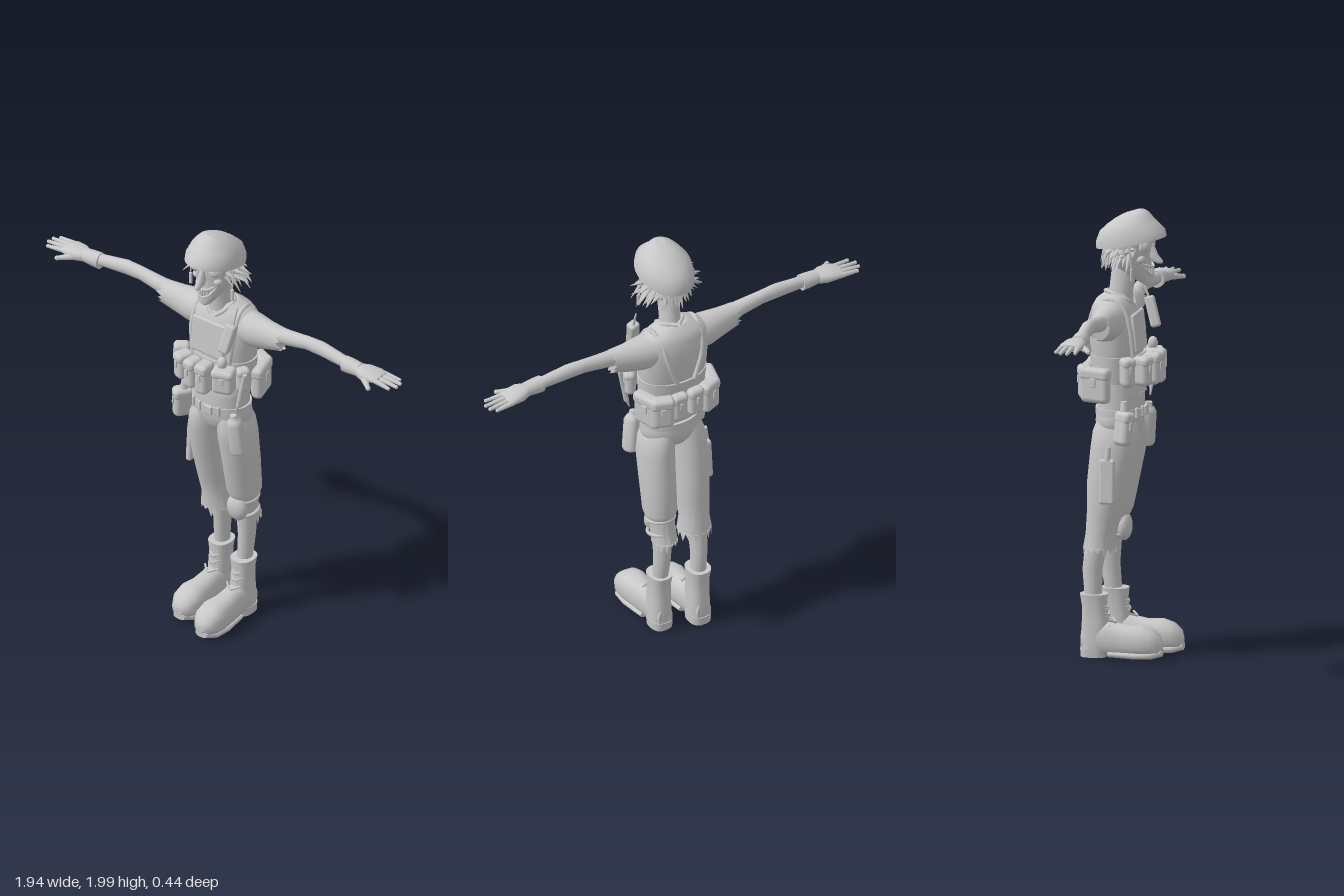
import * as THREE from 'three';
import { RoundedBoxGeometry } from 'three/addons/geometries/RoundedBoxGeometry.js';

const clay = new THREE.MeshStandardMaterial({ color: 0xc8c8c8, side: THREE.DoubleSide });
clay.name = 'light grey';
let seed = 7;
const rnd = () => (seed = (seed * 16807) % 2147483647) / 2147483647;
const V = (x, y, z) => new THREE.Vector3(x, y, z);

export function createModel() {
  const root = new THREE.Group();
  root.name = 'soldier';

  const add = (name, geo, parent = root) => {
    const m = new THREE.Mesh(geo, clay);
    m.name = name;
    parent.add(m);
    return m;
  };

  // Skin over rings [t, u, v, ru, rv] along axis k (0 x, 1 y, 2 z); u and v follow cyclically.
  // rag: jagged offset of the first (negative) or last (positive) ring; mirror flips x.
  function loft(k, rings, { n = 24, pow = 2, rag = 0, mirror = false } = {}) {
    const pos = [], idx = [], u = (k + 1) % 3, v = (k + 2) % 3;
    const sgn = (c) => Math.sign(c) * Math.pow(Math.abs(c), 2 / pow);
    const put = (t, a, b) => {
      const p = [0, 0, 0];
      p[k] = t; p[u] = a; p[v] = b;
      pos.push(mirror ? -p[0] : p[0], p[1], p[2]);
    };
    const ring = (r, ragged) => {
      for (let i = 0; i < n; i++) {
        const a = (i / n) * Math.PI * 2;
        const t = r[0] + (ragged ? rag * (i % 2 ? 0.3 + rnd() : 0) : 0);
        put(t, r[1] + r[3] * sgn(Math.cos(a)), r[2] + r[4] * sgn(Math.sin(a)));
      }
    };
    const tri = (a, b, c) => (mirror ? idx.push(a, c, b) : idx.push(a, b, c));
    const last = rings.length - 1;
    rings.forEach((r, j) => ring(r, rag && (rag < 0 ? j === 0 : j === last)));
    for (let j = 0; j < last; j++) for (let i = 0; i < n; i++) {
      const a = j * n + i, b = j * n + (i + 1) % n;
      tri(a, b, b + n); tri(a, b + n, a + n);
    }
    // end caps
    [[rings[0], true], [rings[last], false]].forEach(([r, low]) => {
      const s = pos.length / 3;
      ring(r, false);
      put(r[0], r[1], r[2]);
      for (let i = 0; i < n; i++) {
        const a = s + i, b = s + (i + 1) % n;
        low ? tri(s + n, b, a) : tri(s + n, a, b);
      }
    });
    const g = new THREE.BufferGeometry();
    g.setAttribute('position', new THREE.Float32BufferAttribute(pos, 3));
    g.setIndex(idx);
    g.computeVertexNormals();
    return g;
  }

  // Tapered rod from a to b
  function rod(name, a, b, r0, r1, sides = 10) {
    const d = b.clone().sub(a), m = add(name, new THREE.CylinderGeometry(r1, r0, d.length(), sides));
    m.position.copy(a).addScaledVector(d, 0.5);
    m.quaternion.setFromUnitVectors(V(0, 1, 0), d.normalize());
  }
  function ball(name, x, y, z, sx, sy = sx, sz = sx) {
    const m = add(name, new THREE.SphereGeometry(1, 20, 14));
    m.position.set(x, y, z);
    m.scale.set(sx, sy, sz);
  }
  const box = (name, w, h, d, x, y, z, parent = root, r = 0.012) => {
    const m = add(name, new RoundedBoxGeometry(w, h, d, 3, Math.min(r, w / 2.1, h / 2.1, d / 2.1)), parent);
    m.position.set(x, y, z);
    return m;
  };
  const tube = (name, pts, r) =>
    add(name, new THREE.TubeGeometry(new THREE.CatmullRomCurve3(pts.map((p) => V(...p))), 24, r, 8));

  // Pouch with flap and buckle, facing its own +z
  function pouch(name, w, h, d, x, y, z, ry = 0, rz = 0) {
    const g = new THREE.Group();
    g.name = name;
    box('pouchBody', w, h, d, 0, 0, 0, g, 0.024);
    box('pouchFlap', w * 1.04, h * 0.36, d * 1.05, 0, h * 0.33, 0.002, g, 0.02);
    box('pouchBuckle', w * 0.22, h * 0.26, 0.01, 0, h * 0.1, d * 0.52, g, 0.004);
    g.position.set(x, y, z);
    g.rotation.set(0, ry, rz);
    root.add(g);
  }

  // Torso, shirt hem and belt
  add('torso', loft(1, [[1.08, -0.045, 0, 0.1, 0.135], [1.2, -0.04, 0, 0.097, 0.13], [1.3, -0.058, 0, 0.1, 0.15],
    [1.4, -0.062, 0, 0.114, 0.162], [1.5, -0.068, 0, 0.111, 0.167], [1.565, -0.072, 0, 0.096, 0.163],
    [1.6, -0.075, 0, 0.075, 0.135], [1.625, -0.065, 0, 0.052, 0.065]], { n: 32, pow: 2.2 }));
  add('shirtHem', loft(1, [[1.19, -0.04, 0, 0.105, 0.147], [1.26, -0.045, 0, 0.1, 0.145]], { n: 40, rag: -0.012 }));
  add('belt', loft(1, [[1.088, -0.045, 0, 0.11, 0.143], [1.12, -0.045, 0, 0.11, 0.143]], { n: 32 }));
  box('beltBuckle', 0.045, 0.045, 0.016, 0.01, 1.105, 0.066);
  for (const x of [-0.085, -0.04, 0.06]) box('beltLoop', 0.013, 0.05, 0.016, x, 1.105, 0.065 - x * x * 2.5);

  // Vest
  add('vestBand', loft(1, [[1.24, -0.055, 0, 0.113, 0.158], [1.36, -0.06, 0, 0.118, 0.165]], { n: 32 }));
  const plate = box('chestPanel', 0.18, 0.17, 0.02, -0.01, 1.46, 0.038);
  plate.rotation.x = -0.1;
  for (const s of [-1, 1]) {
    tube('shoulderStrap', [[s * 0.1, 1.36, 0.035], [s * 0.115, 1.5, 0.02], [s * 0.11, 1.585, -0.02],
      [s * 0.108, 1.61, -0.075], [s * 0.1, 1.575, -0.135], [s * 0.085, 1.48, -0.168], [s * 0.045, 1.36, -0.175]], 0.011);
    tube('collar', [[s * 0.01, 1.57, 0.015], [s * 0.045, 1.6, -0.005], [s * 0.055, 1.625, -0.06], [0, 1.63, -0.115]], 0.01);
  }

  // Pouches around the waist: w, h, d, x, y, z, turn
  [[0.06, 0.13, 0.07, -0.165, 1.3, 0.025, -0.9], [0.065, 0.13, 0.08, -0.115, 1.3, 0.08, -0.35],
    [0.06, 0.14, 0.08, -0.045, 1.3, 0.105, -0.08], [0.065, 0.15, 0.08, 0.022, 1.3, 0.11, 0.05],
    [0.1, 0.12, 0.08, 0.108, 1.305, 0.08, 0.35], [0.06, 0.12, 0.05, 0.165, 1.3, 0.02, 0.95],
    [0.14, 0.155, 0.055, 0.16, 1.235, -0.12, 1.85], [0.14, 0.155, 0.055, -0.16, 1.235, -0.12, -1.85],
    [0.1, 0.15, 0.06, 0.12, 1.24, -0.175, 2.75], [0.1, 0.15, 0.06, -0.12, 1.24, -0.175, -2.75],
    [0.075, 0.135, 0.05, 0.042, 1.245, -0.185, 3.1], [0.075, 0.135, 0.05, -0.042, 1.245, -0.185, -3.1],
  ].forEach((p) => pouch('waistPouch', ...p));
  ball('grenade', 0.095, 1.385, 0.075, 0.022, 0.03);
  rod('toolHandle', V(0.165, 1.18, 0.05), V(0.2, 1.35, 0.05), 0.012, 0.01);
  rod('toolBlade', V(0.15, 1.14, 0.05), V(0.17, 1.2, 0.05), 0.003, 0.012);

  // Radio on the chest strap
  const radio = box('radio', 0.05, 0.14, 0.045, 0.12, 1.52, 0.068);
  radio.rotation.set(-0.25, 0.2, -0.15);
  rod('radioAntenna', V(0.13, 1.57, 0.05), V(0.135, 1.66, 0.02), 0.007, 0.004);

  // Hip and thigh gear
  const canteen = add('hipCanteen', loft(1, [[-0.09, 0, 0, 0.03, 0.032], [-0.075, 0, 0, 0.038, 0.038], [0.06, 0, 0, 0.036, 0.035],
    [0.08, 0, 0, 0.026, 0.026], [0.085, 0, 0, 0.015, 0.015], [0.105, 0, 0, 0.014, 0.014]], { pow: 2.6 }));
  canteen.position.set(0.145, 1.01, 0.038);
  canteen.rotation.set(0.05, 0.4, 0.12);
  pouch('hipBag', 0.06, 0.15, 0.085, -0.175, 1.05, 0.01, -0.6, -0.12);
  rod('bagCap', V(-0.165, 1.12, 0.01), V(-0.16, 1.17, 0.01), 0.02, 0.016);
  const sheath = box('thighSheath', 0.03, 0.2, 0.07, -0.175, 0.81, -0.065);
  sheath.rotation.z = -0.05;
  rod('knifeHandle', V(-0.175, 0.9, -0.065), V(-0.17, 0.965, -0.06), 0.014, 0.012);

  // Trousers
  add('trouserSeat', loft(1, [[0.965, -0.05, 0, 0.04, 0.03], [0.985, -0.05, 0, 0.075, 0.075], [1.02, -0.05, 0, 0.098, 0.135],
    [1.06, -0.05, 0, 0.104, 0.148], [1.1, -0.045, 0, 0.104, 0.14]], { n: 32 }));
  add('rightTrouserLeg', loft(1, [[0.5, -0.12, -0.078, 0.074, 0.078], [0.56, -0.115, -0.08, 0.068, 0.068],
    [0.65, -0.1, -0.083, 0.077, 0.073], [0.8, -0.078, -0.084, 0.097, 0.079], [0.95, -0.055, -0.083, 0.105, 0.08],
    [1.02, -0.05, -0.075, 0.102, 0.075], [1.06, -0.048, -0.065, 0.09, 0.065]], { n: 30, rag: -0.035 }));
  add('leftTrouserLeg', loft(1, [[0.62, -0.095, 0.085, 0.07, 0.066], [0.65, -0.095, 0.085, 0.084, 0.075],
    [0.8, -0.075, 0.085, 0.096, 0.077], [0.95, -0.053, 0.083, 0.105, 0.08],
    [1.02, -0.05, 0.075, 0.102, 0.075], [1.06, -0.048, 0.065, 0.09, 0.065]], { n: 30 }));
  add('leftTrouserHem', loft(1, [[0.5, -0.13, 0.082, 0.06, 0.057], [0.56, -0.11, 0.082, 0.058, 0.055],
    [0.64, -0.095, 0.084, 0.07, 0.066]], { n: 30, rag: -0.035 }));
  ball('kneePad', 0.082, 0.565, -0.05, 0.052, 0.065, 0.035);
  for (const y of [0.535, 0.605]) {
    const t = add('kneeStrap', new THREE.TorusGeometry(0.06, 0.008, 8, 24));
    t.position.set(0.084, y, -0.103);
    t.rotation.x = Math.PI / 2 + 0.15;
  }

  // Shins and boots: side, x, z shift
  [['left', 0.085, 0], ['right', -0.08, -0.055]].forEach(([side, x, z]) => {
    add(side + 'Shin', loft(1, [[0.24, z - 0.095, x, 0.036, 0.032], [0.4, z * 0.7 - 0.115, x, 0.045, 0.037],
      [0.55, z * 0.4 - 0.11, x, 0.05, 0.045]]));
    add(side + 'BootShaft', loft(1, [[0.03, z - 0.09, x, 0.058, 0.05], [0.1, z - 0.085, x, 0.064, 0.051],
      [0.17, z - 0.085, x, 0.06, 0.047], [0.24, z - 0.09, x, 0.055, 0.047], [0.29, z - 0.092, x, 0.062, 0.053]], { pow: 2.4 }));
    add(side + 'BootFoot', loft(2, [[z - 0.145, x, 0.075, 0.035, 0.05], [z - 0.09, x, 0.09, 0.05, 0.075],
      [z - 0.02, x, 0.09, 0.053, 0.078], [z + 0.05, x, 0.083, 0.06, 0.072], [z + 0.12, x, 0.085, 0.07, 0.073],
      [z + 0.17, x, 0.08, 0.066, 0.062], [z + 0.205, x, 0.07, 0.045, 0.042], [z + 0.217, x, 0.065, 0.015, 0.015]], { pow: 2.3 }));
    add(side + 'BootSole', loft(2, [[z - 0.02, x, 0.027, 0.052, 0.016], [z + 0.1, x, 0.027, 0.067, 0.019],
      [z + 0.17, x, 0.03, 0.062, 0.02], [z + 0.215, x, 0.038, 0.03, 0.016]], { pow: 2.6 }));
    add(side + 'BootHeel', loft(1, [[0.01, z - 0.092, x, 0.058, 0.05], [0.05, z - 0.092, x, 0.06, 0.052]], { pow: 2.6 }));
    for (let i = 0; i < 4; i++) {
      const y = 0.15 + i * 0.032, f = z - 0.018 + (i === 0 ? 0.025 : 0) - i * 0.006;
      for (const s of [-1, 1])
        tube('bootLace', [[x - s * 0.035, y, f - 0.025], [x, y + 0.014, f], [x + s * 0.035, y + 0.028, f - 0.025]], 0.005);
    }
  });

  // Arms and hands
  for (const s of [1, -1]) {
    const side = s > 0 ? 'left' : 'right', mirror = s < 0;
    add(side + 'Sleeve', loft(0, [[0.08, 1.52, -0.07, 0.08, 0.08], [0.17, 1.515, -0.068, 0.078, 0.072],
      [0.24, 1.518, -0.065, 0.069, 0.056], [0.315, 1.528, -0.062, 0.055, 0.046]], { mirror, rag: 0.025 }));
    add(side + 'Arm', loft(0, [[0.25, 1.54, -0.063, 0.04, 0.038], [0.36, 1.55, -0.063, 0.036, 0.033],
      [0.46, 1.563, -0.065, 0.032, 0.027], [0.54, 1.565, -0.063, 0.034, 0.029], [0.7, 1.55, -0.055, 0.026, 0.025]], { mirror }));
    add(side + 'GloveCuff', loft(0, [[0.675, 1.547, -0.053, 0.038, 0.035], [0.7, 1.547, -0.053, 0.037, 0.036],
      [0.76, 1.547, -0.053, 0.03, 0.034]], { mirror }));
    add(side + 'Palm', loft(0, [[0.75, 1.545, -0.053, 0.027, 0.032], [0.79, 1.545, -0.055, 0.03, 0.05],
      [0.84, 1.545, -0.06, 0.022, 0.053], [0.87, 1.543, -0.062, 0.014, 0.047]], { mirror, pow: 2.3 }));
    [[-0.1, -0.105, 0.935], [-0.077, -0.08, 0.957], [-0.053, -0.05, 0.96], [-0.028, -0.018, 0.94]].forEach(([a, b, tip]) => {
      rod(side + 'Finger', V(s * 0.85, 1.543, a), V(s * tip, 1.538, b), 0.013, 0.008);
      ball('fingertip', s * tip, 1.538, b, 0.009);
    });
    rod(side + 'Thumb', V(s * 0.79, 1.54, -0.03), V(s * 0.86, 1.528, 0.022), 0.018, 0.01);
    ball('thumbTip', s * 0.86, 1.528, 0.022, 0.011);
  }

  // Neck and head
  add('neck', loft(1, [[1.57, -0.055, 0, 0.065, 0.065], [1.63, -0.045, 0, 0.053, 0.046], [1.76, -0.025, 0, 0.058, 0.045]]));
  add('head', loft(1, [[1.663, 0.08, 0, 0.014, 0.018], [1.675, 0.073, 0, 0.027, 0.034], [1.7, 0.045, 0, 0.053, 0.05],
    [1.75, 0.008, 0, 0.083, 0.076], [1.8, -0.01, 0, 0.1, 0.092], [1.86, -0.01, 0, 0.11, 0.1], [1.92, -0.01, 0, 0.1, 0.095]], { n: 28 }));
  add('nose', loft(1, [[1.762, 0.13, 0, 0.012, 0.01], [1.775, 0.115, 0, 0.03, 0.018], [1.8, 0.095, 0, 0.028, 0.015],
    [1.85, 0.085, 0, 0.018, 0.012]], { n: 14 }));
  for (const s of [-1, 1]) {
    ball('eye', s * 0.05, 1.842, 0.068, 0.032, 0.032, 0.03);
    const lid = add('eyeRim', new THREE.TorusGeometry(0.032, 0.005, 8, 24));
    lid.position.set(s * 0.05, 1.842, 0.077);
    lid.rotation.y = s * 0.35;
    ball('cheek', s * 0.056, 1.785, 0.056, 0.022, 0.02, 0.022);
    ball('ear', s * 0.102, 1.8, -0.02, 0.014, 0.034, 0.022);
    rod('chinStrap', V(s * 0.115, 1.85, 0.02), V(s * 0.115, 1.76, 0.03), 0.004, 0.004, 6);
    box('strapEnd', 0.016, 0.06, 0.012, s * 0.115, 1.725, 0.03);
  }
  // Grin
  for (const [y, drop] of [[1.757, 0.012], [1.73, 0.024]])
    tube('lip', [[-0.058, 1.768, 0.055], [-0.03, y - drop * 0.5, 0.092], [0, y - drop, 0.1],
      [0.03, y - drop * 0.5, 0.092], [0.058, 1.768, 0.055]], 0.006);
  for (let i = -3; i <= 3; i++)
    box('tooth', 0.011, 0.03, 0.01, i * 0.012, 1.728 + i * i * 0.0022, 0.1 - i * i * 0.0025, root, 0.003);

  // Helmet, sheared so the front peak rides higher
  const shear = (g) => {
    const p = g.attributes.position;
    for (let i = 0; i < p.count; i++) p.setY(i, p.getY(i) + 0.2 * p.getZ(i));
    g.computeVertexNormals();
    return g;
  };
  add('helmet', shear(loft(1, [[1.852, 0.002, 0, 0.156, 0.122], [1.885, -0.002, 0, 0.153, 0.12], [1.925, -0.012, 0, 0.127, 0.108],
    [1.95, -0.005, 0, 0.1, 0.088], [1.97, 0.005, 0, 0.076, 0.068], [1.984, 0.016, 0, 0.048, 0.045],
    [1.991, 0.032, 0, 0.02, 0.022]], { n: 32 })));

  // Ragged hair under the helmet, around the sides and back
  for (let i = 0; i < 64; i++) {
    const a = -0.45 + (i / 63) * (Math.PI + 0.9), c = Math.cos(a), s = Math.sin(a);
    const y = 1.84 - rnd() * 0.04, side = Math.abs(c), out = 0.015 + side * rnd() * 0.06;
    const from = V(c * 0.092, y, -0.01 - s * 0.1);
    const to = V(c * (0.105 + out), y - 0.09 + side * rnd() * 0.11, -0.01 - s * (0.105 + rnd() * 0.02));
    rod('hairLock', from, to, 0.013, 0.001, 6);
  }
  return root;
}
